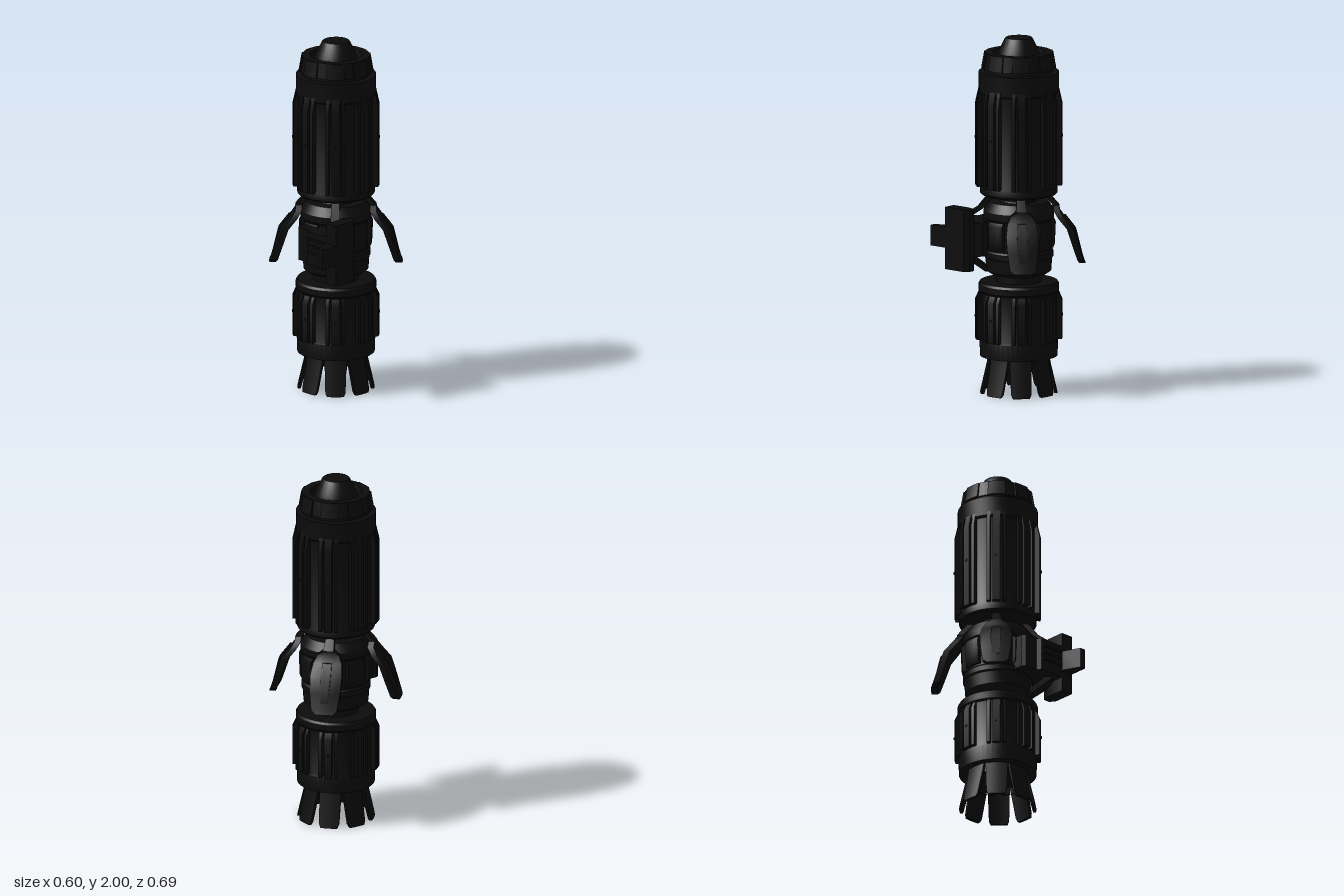
import * as THREE from 'three';
import { toCreasedNormals } from 'three/addons/utils/BufferGeometryUtils.js';

const black = new THREE.MeshStandardMaterial({ color: 0x0c0c0c });
black.name = 'black metal';

export function createModel() {
  const model = new THREE.Group();
  model.name = 'cylindricalDevice';
  const axis = new THREE.Group();
  axis.name = 'hilt';
  axis.position.z = -0.05;
  model.add(axis);

  function add(parent, name, geometry, angle = 0) {
    const mesh = new THREE.Mesh(toCreasedNormals(geometry, 0.5), black);
    mesh.name = name;
    mesh.rotation.y = angle;
    parent.add(mesh);
    return mesh;
  }

  // Turned part from [radius, height] points, bottom to top
  const turned = (name, pts) =>
    add(axis, name, new THREE.LatheGeometry(pts.map(p => new THREE.Vector2(...p)), 48));

  // Bent plate following rows of [outer radius, height, half width], bottom to top
  function bentPlate(rows, thickness, camber = 0) {
    const n = rows.length - 1;
    const g = new THREE.BoxGeometry(1, 1, 1, 4, n, 1);
    const p = g.attributes.position;
    for (let i = 0; i < p.count; i++) {
      const [r, y, w] = rows[Math.round((p.getY(i) + 0.5) * n)];
      const t = p.getX(i) * 2 * w;
      p.setXYZ(i, t, y, r - camber * t * t - (p.getZ(i) < 0 ? thickness : 0));
    }
    g.computeVertexNormals();
    return g;
  }

  // Upright block with a plan outline of [x, z] points
  function planBlock(name, outline, y0, y1) {
    const shape = new THREE.Shape(outline.map(p => new THREE.Vector2(...p)));
    const g = new THREE.ExtrudeGeometry(shape, { depth: y1 - y0, bevelEnabled: false });
    g.rotateX(Math.PI / 2).translate(0, y1, 0);
    add(model, name, g);
  }

  // Turned body sections
  turned('lowerGrip', [[0, 0.2], [0.16, 0.2], [0.165, 0.21], [0.215, 0.21], [0.218, 0.3],
    [0.213, 0.31], [0.213, 0.57], [0.223, 0.58], [0.223, 0.615], [0.215, 0.628], [0, 0.628]]);
  turned('lowerNeck', [[0.125, 0.6], [0.125, 0.7]]);
  turned('middleBody', [[0, 0.67], [0.15, 0.67], [0.18, 0.69], [0.185, 0.76], [0.192, 0.77],
    [0.192, 0.8], [0.182, 0.81], [0.182, 0.98], [0.196, 0.99], [0.196, 1.03], [0.165, 1.08], [0, 1.08]]);
  turned('upperNeck', [[0.115, 1.05], [0.1, 1.09], [0.115, 1.14]]);
  turned('upperGrip', [[0, 1.12], [0.205, 1.12], [0.215, 1.13], [0.215, 1.17], [0.21, 1.18],
    [0.21, 1.69], [0.222, 1.7], [0.222, 1.81], [0.19, 1.812], [0.19, 1.83], [0.2, 1.832],
    [0.187, 1.92], [0.145, 1.92], [0.13, 1.86], [0.125, 1.86], [0.125, 1.89],
    [0.112, 1.925], [0.077, 1.995], [0.072, 2], [0, 2]]);
  const hatch = new THREE.BoxGeometry(0.085, 0.006, 0.085);
  add(axis, 'capHatch', hatch.translate(0, 1.997, 0));

  // Eight groups of three raised grip bars on each grip
  const bars = [
    ['upperGripBar', [[1.17, 0.24], [1.64, 0.24], [1.72, 0.222]]],
    ['lowerGripBar', [[0.305, 0.24], [0.53, 0.24], [0.57, 0.222]]]
  ];
  for (let i = 0; i < 8; i++) {
    const a = i * Math.PI / 4;
    for (const [name, profile] of bars) {
      for (const side of [-1, 0, 1]) {
        const w = side ? 0.01 : 0.022;
        add(axis, name, bentPlate(profile.map(([y, r]) => [r, y, w]), 0.04), a + side * 0.192);
      }
    }
    for (const y of [0.435, 1.445]) {
      const stud = new THREE.CylinderGeometry(0.008, 0.008, 0.012, 12);
      add(axis, 'gripStud', stud.rotateX(Math.PI / 2).translate(0, y, 0.238), a);
    }

    // Crown blocks, middle panels and flared tail petals
    add(axis, 'crownBlock', bentPlate([[0.207, 1.832, 0.05], [0.192, 1.918, 0.047]], 0.03, 1.5), a);
    add(axis, 'middlePanel', bentPlate([[0.192, 0.82, 0.05], [0.2, 0.84, 0.05],
      [0.205, 0.96, 0.05], [0.196, 0.98, 0.05]], 0.03, 2), a);
    add(axis, 'tailPetal', bentPlate([[0.214, 0, 0.047], [0.21, 0.02, 0.056],
      [0.178, 0.16, 0.06], [0.168, 0.215, 0.062]], 0.016, 1.5), a);
  }
  turned('tailCollar', [[0.15, 0.155], [0.167, 0.16], [0.165, 0.215]]);

  // Three folded claws with their struts
  const clawRows = [[0.37, 0.73, 0.047], [0.362, 0.75, 0.072], [0.335, 0.84, 0.085],
    [0.306, 0.93, 0.09], [0.255, 0.99, 0.08], [0.228, 1.03, 0.06],
    [0.225, 1.055, 0.03], [0.165, 1.125, 0.022]];
  for (const quarter of [-1, 3, 5]) {
    const a = quarter * Math.PI / 4;
    add(axis, 'claw', bentPlate(clawRows, 0.035, 1.2), a);
    add(axis, 'clawRib', bentPlate([[0.35, 0.79, 0.02], [0.318, 0.92, 0.03],
      [0.262, 0.995, 0.025]], 0.03), a);
  }

  // Side control housing on the remaining corner
  planBlock('controlHousing', [[-0.045, 0.12], [-0.045, 0.19], [-0.03, 0.21], [0.05, 0.21],
    [0.065, 0.235], [0.23, 0.235], [0.25, 0.09], [0.2, 0.04], [0.1, 0.03]], 0.78, 0.97);
  planBlock('controlPlate', [[0.235, 0.075], [0.22, 0.12], [0.22, 0.235], [0.295, 0.235],
    [0.295, 0.1], [0.27, 0.075]], 0.7, 1.05);
  planBlock('controlLever', [[0.22, 0.23], [0.22, 0.25], [0.26, 0.342], [0.295, 0.342],
    [0.295, 0.23]], 0.82, 0.935);
  for (const y of [0.85, 0.89, 0.93]) {
    const slat = new THREE.BoxGeometry(0.14, 0.014, 0.012);
    add(model, 'controlSlat', slat.translate(0.14, y, 0.237));
  }
  const corner = Math.PI / 4;
  add(axis, 'controlStrut', bentPlate([[0.3, 1.0, 0.03], [0.225, 1.05, 0.025], [0.165, 1.125, 0.022]], 0.035), corner);
  add(axis, 'lowerBrace', bentPlate([[0.19, 0.69, 0.04], [0.3, 0.77, 0.05], [0.3, 0.8, 0.05]], 0.05), corner);

  return model;
}
